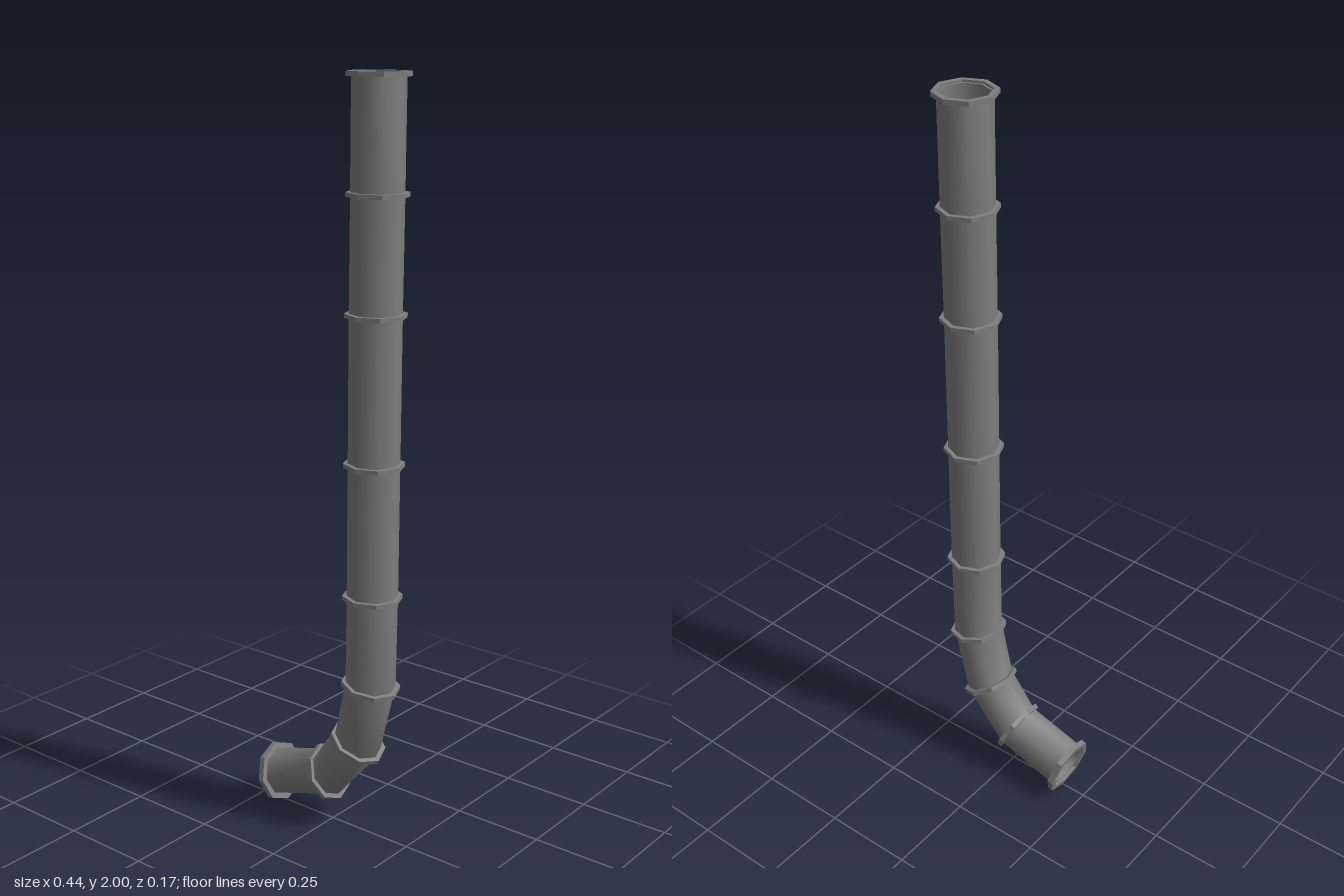
import * as THREE from 'three';
import { toCreasedNormals } from 'three/addons/utils/BufferGeometryUtils.js';

const SIDES = 8;
const material = new THREE.MeshStandardMaterial({ color: 0x7f7f7f });
const flatMaterial = new THREE.MeshStandardMaterial({ color: 0x7f7f7f, flatShading: true });

// Joints from the outlet to the top: x, y, lean of the axis from vertical (degrees), collar radius, collar height
const joints = [
  [-0.191, 0.085, 75.5, 0.083, 0.016],
  [-0.014, 0.139, 63, 0.079, 0.013],
  [0.085, 0.258, 30, 0.079, 0.013],
  [0.127, 0.434, 10, 0.079, 0.012],
  [0.131, 0.683, 0.6, 0.079, 0.011],
  [0.133, 1.038, 0.4, 0.079, 0.011],
  [0.135, 1.419, 0.4, 0.079, 0.011],
  [0.138, 1.713, 0.4, 0.079, 0.011],
  [0.14, 1.994, 0.4, 0.08, 0.012],
];

// One octagonal loop across the axis of a joint, shifted along that axis
function loop([x, y, lean], radius, shift = 0) {
  const t = THREE.MathUtils.degToRad(lean);
  const nx = Math.sin(t), ny = Math.cos(t);
  return Array.from({ length: SIDES }, (_, j) => {
    const a = (j / SIDES) * Math.PI * 2;
    const u = radius * Math.cos(a);
    return [x + nx * shift + ny * u, y + ny * shift - nx * u, radius * Math.sin(a)];
  });
}

// Skin a closed ring of loops (outside upward, inside downward)
function skin(loops) {
  const index = [];
  const n = loops.length;
  for (let i = 0; i < n; i++) {
    for (let j = 0; j < SIDES; j++) {
      const i2 = (i + 1) % n, j2 = (j + 1) % SIDES;
      const a = i * SIDES + j, b = i2 * SIDES + j;
      const c = i2 * SIDES + j2, d = i * SIDES + j2;
      index.push(a, b, c, a, c, d);
    }
  }
  const geometry = new THREE.BufferGeometry();
  geometry.setAttribute('position', new THREE.Float32BufferAttribute(loops.flat(2), 3));
  geometry.setIndex(index);
  geometry.computeVertexNormals();
  return geometry;
}

export function createModel() {
  const model = new THREE.Group();
  model.name = 'drainpipe';

  // Hollow pipe with a thin wall
  const outer = joints.map((p) => loop(p, 0.067));
  const inner = joints.map((p) => loop(p, 0.061)).reverse();
  const pipe = new THREE.Mesh(toCreasedNormals(skin([...outer, ...inner]), Math.PI / 3), material);
  pipe.name = 'pipe';
  model.add(pipe);

  // Octagonal collar around every joint
  joints.forEach((p, i) => {
    const [, , , radius, height] = p;
    const h = height / 2;
    const collar = new THREE.Mesh(
      skin([loop(p, radius, -h), loop(p, radius, h), loop(p, 0.066, h), loop(p, 0.066, -h)]),
      flatMaterial,
    );
    collar.name = `collar${i + 1}`;
    model.add(collar);
  });

  return model;
}
